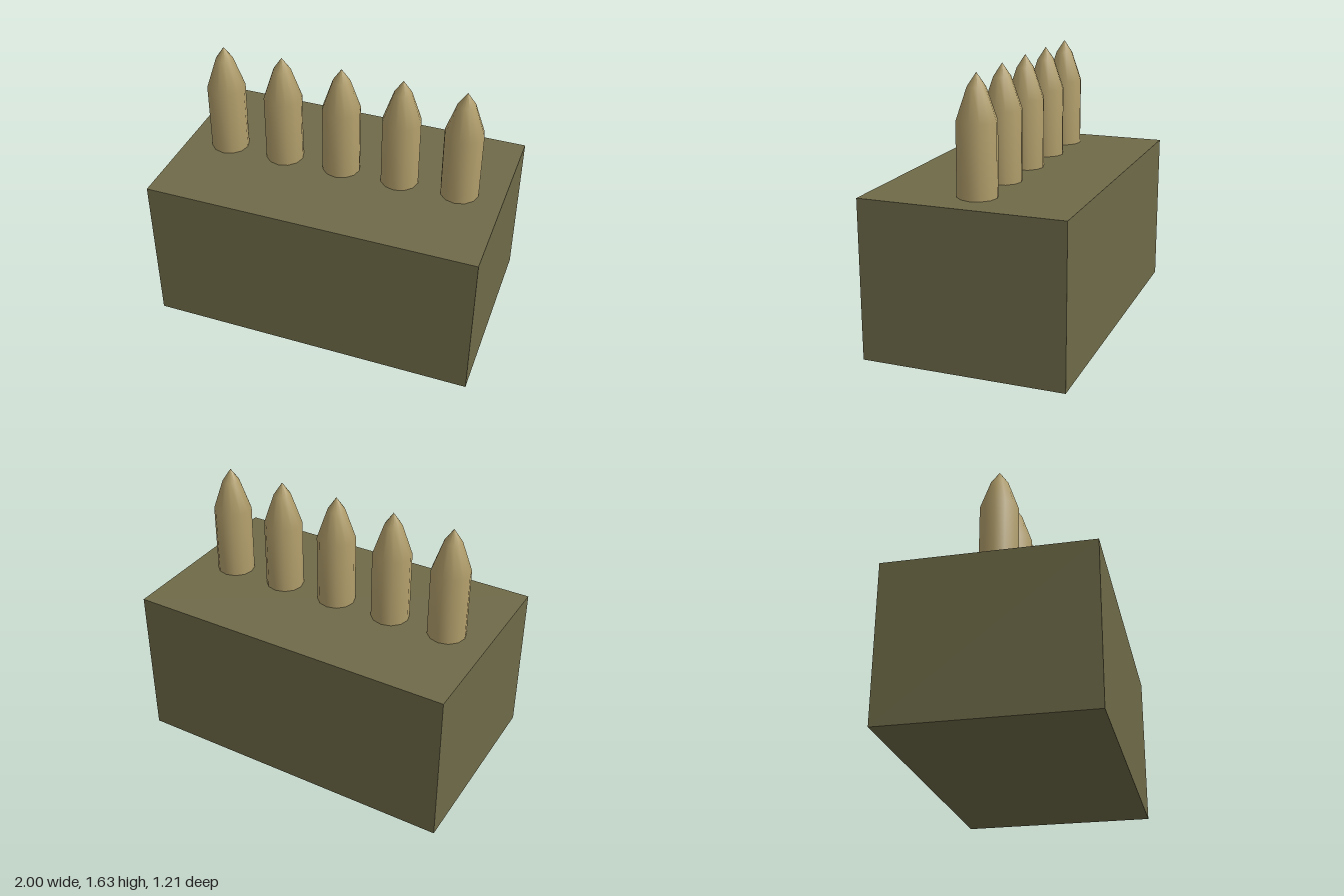
import * as THREE from 'three';

const BOX = { width: 2, height: 0.95, depth: 1.205 };
const COUNT = 5, SPACING = 0.368, RADIUS = 0.115, SIDES = 12;

export function createModel() {
  const model = new THREE.Group();
  model.name = 'ammoBox';

  // Solid box standing on the ground
  const box = new THREE.Mesh(
    new THREE.BoxGeometry(BOX.width, BOX.height, BOX.depth),
    new THREE.MeshStandardMaterial({ color: 0x6e6a48 })
  );
  box.name = 'box';
  box.position.y = BOX.height / 2;
  model.add(box);

  // Round: straight casing, tapered nose, blunter tip
  const profile = [
    [RADIUS, 0], [RADIUS, 0.42], [0.052, 0.605], [0, 0.682],
  ].map(([r, y]) => new THREE.Vector2(r, y));
  const roundGeometry = new THREE.LatheGeometry(profile, SIDES);
  const brass = new THREE.MeshStandardMaterial({ color: 0xb09d6a });

  // Row of rounds along the middle of the lid
  for (let i = 0; i < COUNT; i++) {
    const round = new THREE.Mesh(roundGeometry, brass);
    round.name = `round${i + 1}`;
    round.position.set((i - (COUNT - 1) / 2) * SPACING, BOX.height, 0);
    model.add(round);
  }

  return model;
}
